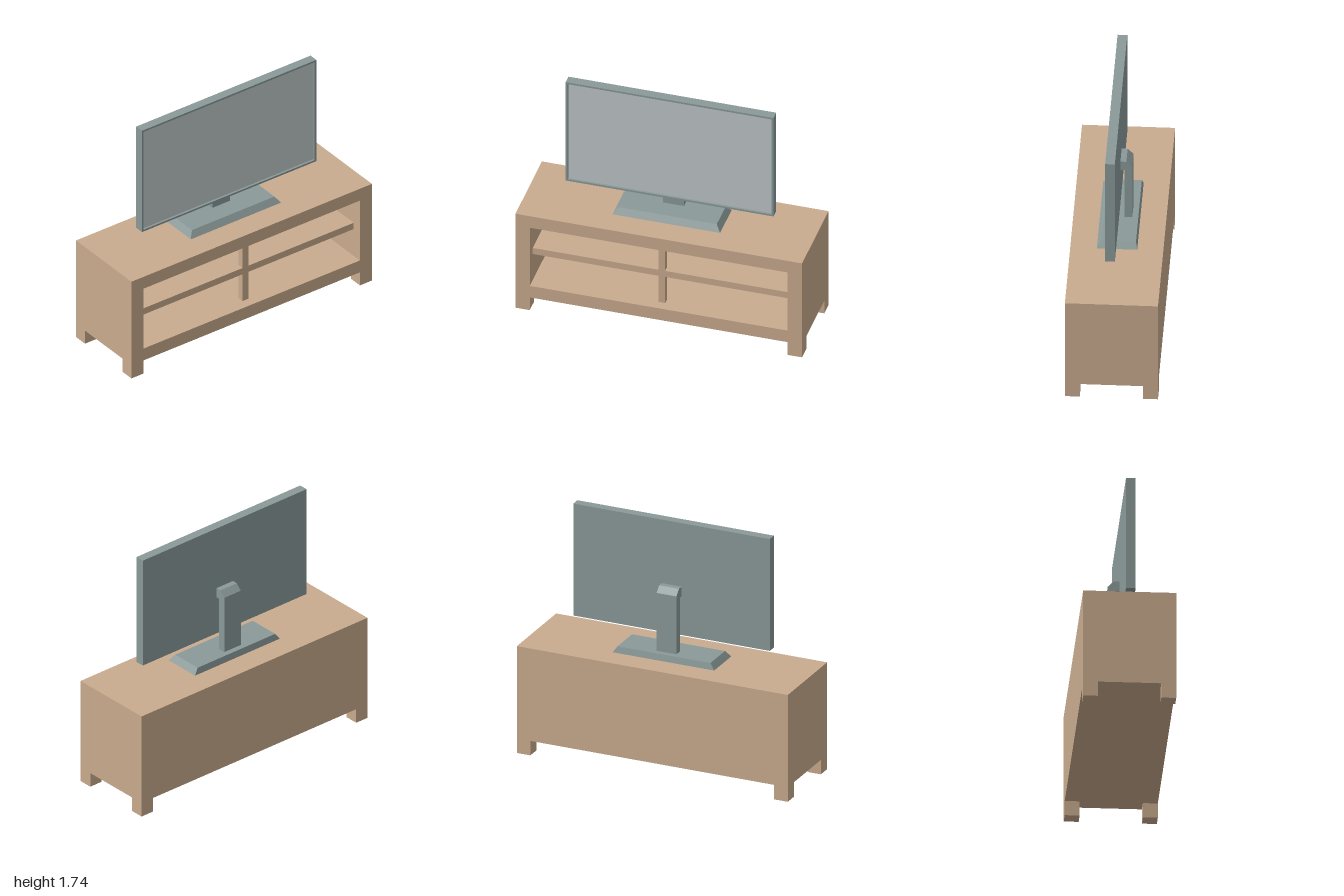
import * as THREE from 'three';

const wood = new THREE.MeshStandardMaterial({ name: 'wood', color: 0xc9ab8e });
const greyPlastic = new THREE.MeshStandardMaterial({ name: 'greyPlastic', color: 0x8a9a99 });
const screenGlass = new THREE.MeshStandardMaterial({ name: 'screenGlass', color: 0xbfc7c9 });

function add(group, name, geometry, material) {
  const mesh = new THREE.Mesh(geometry, material);
  mesh.name = name;
  group.add(mesh);
  return mesh;
}

// Box given by its minimum and maximum corners
function box(x0, x1, y0, y1, z0, z1) {
  return new THREE.BoxGeometry(x1 - x0, y1 - y0, z1 - z0)
    .translate((x0 + x1) / 2, (y0 + y1) / 2, (z0 + z1) / 2);
}

function rectangle(PathType, x0, x1, y0, y1) {
  const p = new PathType();
  p.moveTo(x0, y0);
  p.lineTo(x1, y0);
  p.lineTo(x1, y1);
  p.lineTo(x0, y1);
  p.closePath();
  return p;
}

// Rectangular frame with a rectangular opening, from z0 to z1
function frame(outer, inner, z0, z1) {
  const shape = rectangle(THREE.Shape, ...outer);
  shape.holes.push(rectangle(THREE.Path, ...inner));
  return new THREE.ExtrudeGeometry(shape, { depth: z1 - z0, bevelEnabled: false }).translate(0, 0, z0);
}

function createCabinet() {
  const g = new THREE.Group();
  g.name = 'cabinet';
  const D = 0.312, back = -D + 0.04, recess = D - 0.07;
  add(g, 'cabinetBody', frame([-1, 1, 0.105, 0.775], [-0.9, 0.9, 0.2, 0.68], back, D), wood);
  add(g, 'backPanel', box(-1, 1, 0.105, 0.775, -D, back), wood);
  add(g, 'shelf', box(-0.9, 0.9, 0.415, 0.465, back, recess), wood);
  // Short posts above and below the shelf
  add(g, 'lowerPost', box(-0.024, 0.024, 0.2, 0.415, recess - 0.048, recess), wood);
  add(g, 'upperPost', box(-0.024, 0.024, 0.465, 0.68, recess - 0.048, recess), wood);
  for (const sx of [-1, 1]) {
    for (const sz of [-1, 1]) {
      const leg = add(g, 'leg', new THREE.BoxGeometry(0.1, 0.105, 0.1), wood);
      leg.position.set(sx * 0.95, 0.0525, sz * (D - 0.05));
    }
  }
  return g;
}

function createTelevision() {
  const g = new THREE.Group();
  g.name = 'television';
  const zb = -0.007, zf = 0.058, recess = zf - 0.015;

  // Panel: bezel around a slightly sunken screen
  add(g, 'bezel', frame([-0.725, 0.725, 0.93, 1.742], [-0.711, 0.711, 0.944, 1.728], zb + 0.02, zf), greyPlastic);
  add(g, 'panelBack', box(-0.725, 0.725, 0.93, 1.742, zb, zb + 0.02), greyPlastic);
  add(g, 'screen', box(-0.711, 0.711, 0.944, 1.728, recess - 0.008, recess), screenGlass);

  // Base: box whose top face is drawn in
  const base = box(-0.375, 0.375, 0.775, 0.82, -0.137, 0.134);
  const p = base.attributes.position;
  for (let i = 0; i < p.count; i++) {
    if (p.getY(i) < 0.8) continue;
    p.setX(i, Math.sign(p.getX(i)) * 0.343);
    p.setZ(i, p.getZ(i) > 0 ? 0.103 : -0.127);
  }
  base.computeVertexNormals();
  add(g, 'standBase', base, greyPlastic);

  // Neck: side profile (distance behind centre, height) swept across x
  const profile = [[0.033, 0.82], [0.087, 0.82], [0.087, 1.24], [0.047, 1.28],
    [0.007, 1.28], [0.007, 1.21], [0.033, 1.21]].map(([a, b]) => new THREE.Vector2(a, b));
  const neck = new THREE.ExtrudeGeometry(new THREE.Shape(profile), { depth: 0.146, bevelEnabled: false });
  neck.translate(0, 0, -0.073).rotateY(Math.PI / 2);
  add(g, 'standNeck', neck, greyPlastic);
  return g;
}

export function createModel() {
  const model = new THREE.Group();
  model.name = 'televisionOnCabinet';
  model.add(createCabinet(), createTelevision());
  return model;
}
